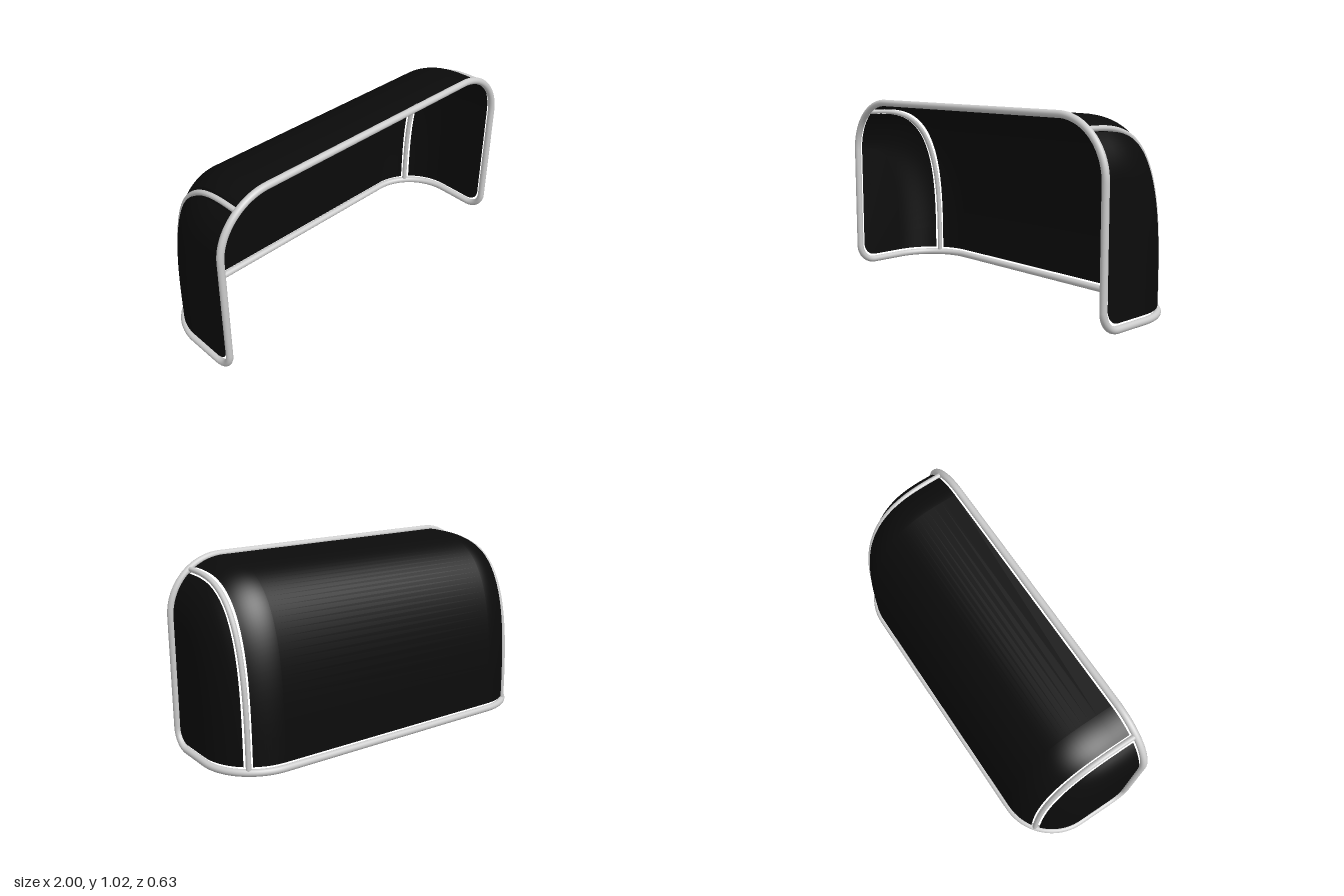
import * as THREE from 'three';

const N = 3.2;                      // roundness of the side profile
const X = 0.69, R = 0.29;           // start and radius of the big corners
const TOP = 1.0, BACK = -0.295, FRONT = 0.294, BASE = 0.02, END = X + R;

const frameMat = new THREE.MeshStandardMaterial({ color: 0xcccccc });
frameMat.name = 'light grey tube';
const netMat = new THREE.MeshStandardMaterial({ color: 0x0b0b0b, side: THREE.DoubleSide });
netMat.name = 'black net';

function addMesh(group, name, geometry, material) {
  const mesh = new THREE.Mesh(geometry, material);
  mesh.name = name;
  group.add(mesh);
}

// Closed path through corner points, each rounded by its own radius
function roundedLoop(corners) {
  const path = new THREE.CurvePath();
  const n = corners.length;
  const rounded = corners.map(([p, r], i) => {
    const before = corners[(i + n - 1) % n][0], after = corners[(i + 1) % n][0];
    const a = before.clone().sub(p).setLength(r).add(p);
    const b = after.clone().sub(p).setLength(r).add(p);
    return { p, a, b };
  });
  rounded.forEach(({ p, a, b }, i) => {
    path.add(new THREE.CubicBezierCurve3(a, a.clone().lerp(p, 0.5523), b.clone().lerp(p, 0.5523), b));
    path.add(new THREE.LineCurve3(b, rounded[(i + 1) % n].a));
  });
  return path;
}

// Profile from the upper front edge to the lower back edge
function profile(x, front, back, bottom, top, steps = 32) {
  const points = [];
  for (let j = 0; j <= steps; j++) {
    const t = (j / steps) * Math.PI / 2;
    const u = Math.pow(Math.sin(t), 2 / N);
    const v = Math.pow(Math.max(0, Math.cos(t)), 2 / N);
    points.push(new THREE.Vector3(x, bottom + (top - bottom) * v, front + (back - front) * u));
  }
  return points;
}

// Net cross-section at an angle round the big corner
function netSection([side, t]) {
  const drop = R * (1 - Math.cos(t));
  return profile(side * (X + R * Math.sin(t)), 0.265, BACK + drop, 0.05, TOP - drop);
}

// Sheet joining cross-sections listed from -x to +x
function sheet(sections) {
  const width = sections[0].length, index = [];
  for (let i = 0; i < sections.length - 1; i++) {
    for (let j = 0; j < width - 1; j++) {
      const a = i * width + j, b = a + width;
      index.push(a, b, a + 1, b, b + 1, a + 1);
    }
  }
  const geometry = new THREE.BufferGeometry().setFromPoints(sections.flat());
  geometry.setIndex(index);
  geometry.computeVertexNormals();
  return geometry;
}

// Flat end of the net, with its lower front corner rounded
function endPanel(side) {
  const shape = new THREE.Shape();
  netSection([side, Math.PI / 2]).forEach((p, j) => {
    if (j) shape.lineTo(-side * p.z, p.y);
    else shape.moveTo(-side * p.z, p.y);
  });
  shape.lineTo(-side * 0.19, 0.05);
  shape.bezierCurveTo(-side * 0.231, 0.05, -side * 0.265, 0.084, -side * 0.265, 0.125);
  shape.closePath();
  return new THREE.ShapeGeometry(shape).rotateY(side * Math.PI / 2).translate(side * END, 0, 0);
}

function angles(from, to, steps) {
  return Array.from({ length: steps + 1 }, (_, i) => from + (to - from) * i / steps);
}

export function createModel() {
  const model = new THREE.Group();
  model.name = 'goal';
  const V = (x, y, z) => new THREE.Vector3(x, y, z);

  // One bent tube forms the front arch and the ground bar
  const loop = roundedLoop([
    [V(-END, TOP, FRONT), R], [V(END, TOP, FRONT), R],
    [V(END, BASE, FRONT), 0.1], [V(END, BASE, BACK), R],
    [V(-END, BASE, BACK), R], [V(-END, BASE, FRONT), 0.1],
  ]);
  addMesh(model, 'frame', new THREE.TubeGeometry(loop, 420, 0.0185, 16, true), frameMat);

  // Middle net panel
  const corner = angles(0, Math.asin((0.847 - X) / R), 10);
  const middle = [...corner.map(t => [-1, t]).reverse(), ...corner.map(t => [1, t])];
  addMesh(model, 'mainNet', sheet(middle.map(netSection)), netMat);

  const strutX = 0.865;
  const strutDrop = R * (1 - Math.cos(Math.asin((strutX - X) / R)));
  for (const side of [-1, 1]) {
    const word = side > 0 ? 'left' : 'right';

    // Curved strut from the arch down to the ground bar
    const line = profile(side * strutX, FRONT, BACK + strutDrop, BASE, TOP - strutDrop, 20);
    addMesh(model, word + 'Strut',
      new THREE.TubeGeometry(new THREE.CatmullRomCurve3(line), 80, 0.0135, 12), frameMat);

    // Side net: curved part and flat end
    const rows = angles(Math.asin((0.884 - X) / R), Math.PI / 2, 12).map(t => [side, t]);
    if (side < 0) rows.reverse();
    addMesh(model, word + 'SideNet', sheet(rows.map(netSection)), netMat);
    addMesh(model, word + 'EndNet', endPanel(side), netMat);
  }
  return model;
}
